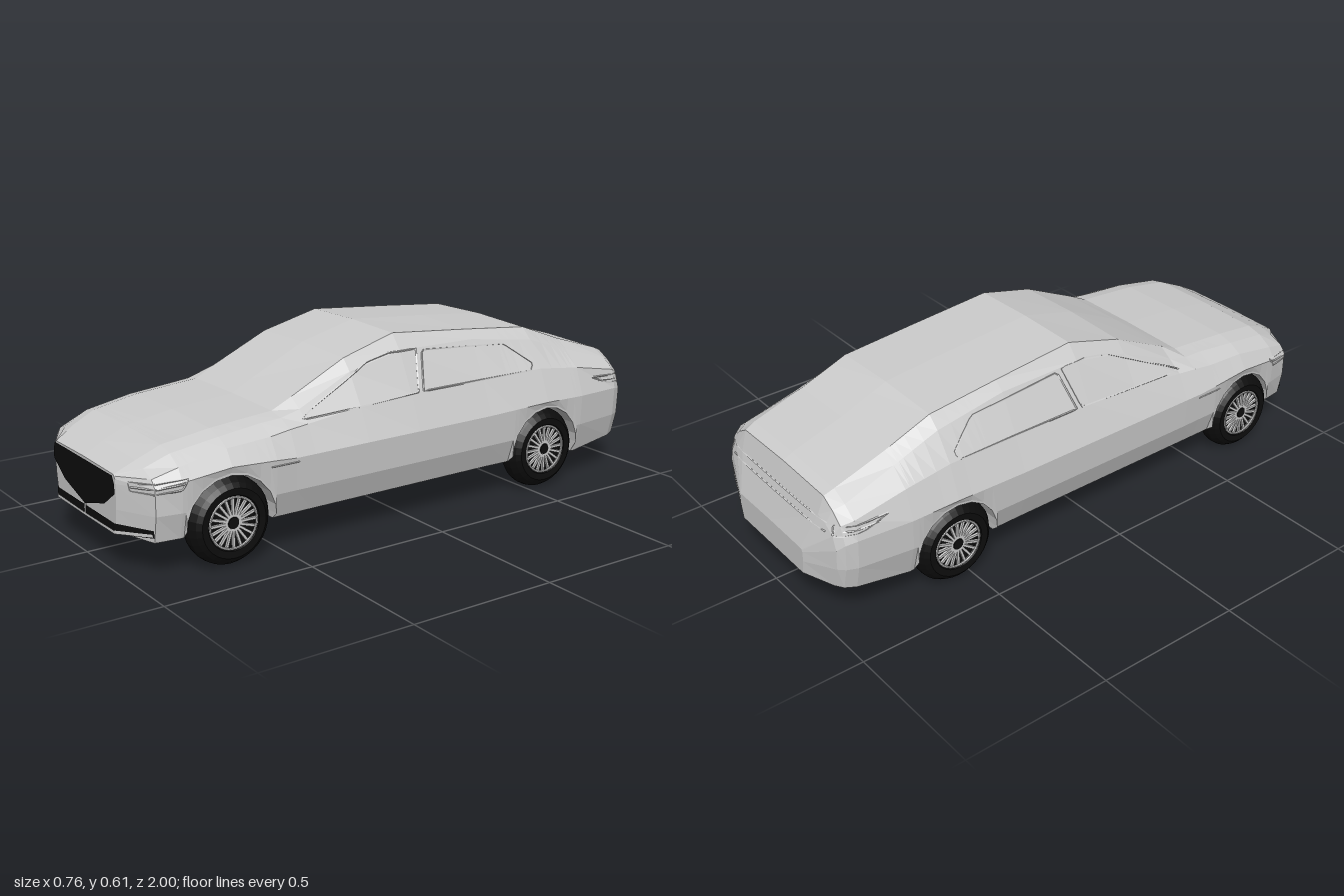
import * as THREE from 'three';

const grey = new THREE.MeshStandardMaterial({ color: 0xcccccc, flatShading: true, side: THREE.DoubleSide });
const black = new THREE.MeshStandardMaterial({ color: 0x0d0d0d, flatShading: true, side: THREE.DoubleSide });
const WHEELS = [0.69, -0.555], AXLE_Y = 0.14, ARCH_R = 0.148;

// Body stations: z, floor y, sill x, mid x, then (x, y) of belt, shoulder, glass top, roof edge, and centre y
const STATIONS = [
  [0.995, 0.13, 0.2, 0.21, 0.212, 0.28, 0.21, 0.295, 0.205, 0.303, 0.2, 0.307, 0.31],
  [0.93, 0.115, 0.32, 0.335, 0.335, 0.285, 0.315, 0.31, 0.265, 0.33, 0.215, 0.342, 0.347],
  [0.85, 0.115, 0.33, 0.35, 0.355, 0.295, 0.33, 0.335, 0.28, 0.365, 0.225, 0.378, 0.381],
  [0.69, 0.118, 0.34, 0.362, 0.368, 0.315, 0.335, 0.365, 0.29, 0.39, 0.235, 0.403, 0.407],
  [0.54, 0.118, 0.345, 0.372, 0.378, 0.31, 0.34, 0.375, 0.285, 0.405, 0.235, 0.415, 0.418],
  [0.47, 0.118, 0.345, 0.372, 0.378, 0.305, 0.34, 0.385, 0.29, 0.41, 0.235, 0.42, 0.423],
  [0.4, 0.118, 0.345, 0.373, 0.378, 0.305, 0.335, 0.39, 0.285, 0.425, 0.24, 0.455, 0.46],
  [0.2, 0.118, 0.345, 0.373, 0.378, 0.305, 0.33, 0.41, 0.27, 0.51, 0.235, 0.548, 0.555],
  [0, 0.118, 0.345, 0.373, 0.378, 0.305, 0.33, 0.42, 0.265, 0.55, 0.225, 0.6, 0.605],
  [-0.3, 0.118, 0.345, 0.373, 0.378, 0.305, 0.33, 0.42, 0.265, 0.545, 0.23, 0.573, 0.58],
  [-0.555, 0.115, 0.345, 0.372, 0.378, 0.31, 0.335, 0.42, 0.275, 0.51, 0.235, 0.548, 0.555],
];
const TAIL = [
  [-0.72, 0.097, 0.34, 0.368, 0.373, 0.305, 0.338, 0.4, 0.28, 0.455, 0.235, 0.485, 0.49],
  [-0.9, 0.118, 0.325, 0.345, 0.35, 0.3, 0.335, 0.365, 0.29, 0.4, 0.235, 0.427, 0.433],
  [-0.935, 0.122, 0.31, 0.33, 0.335, 0.29, 0.315, 0.35, 0.275, 0.385, 0.23, 0.412, 0.418],
  [-0.955, 0.125, 0.285, 0.31, 0.315, 0.27, 0.3, 0.315, 0.265, 0.34, 0.225, 0.353, 0.358],
  [-1, 0.132, 0.18, 0.19, 0.19, 0.215, 0.188, 0.22, 0.186, 0.223, 0.18, 0.225, 0.227],
];
const ALL = [...STATIONS, ...TAIL];

function stationAt(z) {
  const i = Math.max(1, ALL.findIndex(s => s[0] <= z));
  const a = ALL[i - 1], b = ALL[i], t = (a[0] - z) / (a[0] - b[0]);
  return a.map((v, k) => v + (b[k] - v) * t);
}

// Half cross-section from floor centre, round the wheel arch and up to the roof centre
function halfSection(z) {
  const [, f, sx, mx, bx, by, hx, hy, gx, gy, rx, ry, top] = stationAt(z);
  let a = f;
  for (const c of WHEELS) {
    const d = Math.abs(z - c);
    if (d <= ARCH_R + 1e-6) a = AXLE_Y + Math.sqrt(Math.max(0, ARCH_R ** 2 - d * d));
  }
  const inner = Math.min(0.25, sx);
  return [[0, f], [inner, f], [inner, a], [a > f ? mx : sx, a], [mx, Math.max(by > 0.25 ? 0.2 : 0.18, a + 0.008)],
    [bx, by], [hx, hy], [gx, gy], [rx, ry], [0, top]];
}

function bodyGeometry() {
  const zs = ALL.map(s => s[0]);
  for (const c of WHEELS) {
    zs.push(c + ARCH_R + 0.001, c - ARCH_R - 0.001);
    for (const deg of [0, 12, 30, 50, 70, 110, 130, 150, 168, 180]) zs.push(c + ARCH_R * Math.cos(deg * Math.PI / 180));
  }
  zs.sort((p, q) => q - p);
  const pos = [], idx = [], n = 18;
  for (const z of zs) {
    const half = halfSection(z);
    const ring = [...half, ...half.slice(1, 9).reverse().map(([x, y]) => [-x, y])];
    for (const [x, y] of ring) pos.push(x, y, z);
  }
  for (let i = 0; i < zs.length - 1; i++) for (let j = 0; j < n; j++) {
    const a = i * n + j, b = i * n + (j + 1) % n;
    idx.push(a, a + n, b, a + n, b + n, b);
  }
  // Nose and tail caps
  const last = (zs.length - 1) * n;
  for (let j = 0; j < 9; j++) {
    const r0 = j, r1 = j + 1, l0 = (n - j) % n, l1 = n - j - 1;
    idx.push(r0, r1, l1, r0, l1, l0);
    idx.push(last + r0, last + l1, last + r1, last + r0, last + l0, last + l1);
  }
  const g = new THREE.BufferGeometry();
  g.setAttribute('position', new THREE.Float32BufferAttribute(pos, 3));
  g.setIndex(idx);
  g.computeVertexNormals();
  return g;
}

// Strip across the nose, following its chamfered corners; rows are [x, top y, bottom y]
function noseStrip(rows, out) {
  const pos = [], idx = [];
  rows.forEach(([x, t, b], i) => {
    const z = 0.995 + out - Math.max(0, Math.abs(x) - 0.2) * 0.52;
    pos.push(x, t, z, x, b, z);
    if (i) idx.push(2 * i - 2, 2 * i - 1, 2 * i, 2 * i, 2 * i - 1, 2 * i + 1);
  });
  const g = new THREE.BufferGeometry();
  g.setAttribute('position', new THREE.Float32BufferAttribute(pos, 3));
  g.setIndex(idx);
  g.computeVertexNormals();
  return g;
}

function makeWheel() {
  const wheel = new THREE.Group();
  const add = (name, geo, mat) => {
    const m = new THREE.Mesh(geo, mat);
    m.name = name;
    wheel.add(m);
    return m;
  };
  const profile = [[0, -0.04], [0.085, -0.045], [0.11, -0.05], [0.125, -0.038], [0.138, -0.018], [0.14, 0],
    [0.138, 0.018], [0.125, 0.038], [0.11, 0.05], [0.088, 0.048], [0.082, 0.034], [0, 0.034]];
  add('tyre', new THREE.LatheGeometry(profile.map(p => new THREE.Vector2(...p)), 32), black);
  const rim = add('rim', new THREE.TorusGeometry(0.081, 0.004, 6, 32), grey);
  rim.rotation.x = Math.PI / 2;
  rim.position.y = 0.044;
  for (let i = 0; i < 20; i++) {
    const a = i * Math.PI / 10;
    const s = add('spoke', new THREE.BoxGeometry(0.062, 0.008, 0.008), grey);
    s.position.set(Math.cos(a) * 0.05, 0.04, -Math.sin(a) * 0.05);
    s.rotation.y = a;
  }
  add('hub', new THREE.CylinderGeometry(0.018, 0.02, 0.012, 12), black).position.y = 0.04;
  wheel.children.forEach(m => { m.castShadow = true; });
  wheel.rotation.z = -Math.PI / 2;
  const holder = new THREE.Group();
  holder.add(wheel);
  return holder;
}

export function createModel() {
  const car = new THREE.Group();
  car.name = 'car';
  const add = (name, geo, mat = grey) => {
    const m = new THREE.Mesh(geo, mat);
    m.name = name;
    car.add(m);
    return m;
  };
  const body = add('body', bodyGeometry());
  body.updateMatrixWorld();

  // Thin trim line laid on the body: each 2D point is dropped onto the skin by a ray
  const ray = new THREE.Raycaster();
  function trim(name, pts, toRay, closed, r = 0.003) {
    const hits = [];
    pts.forEach((p, i) => {
      const q = pts[(i + 1) % pts.length], steps = !closed && i === pts.length - 1 ? 1 : 6;
      for (let k = 0; k < steps; k++) {
        const [o, d] = toRay(p[0] + (q[0] - p[0]) * k / 6, p[1] + (q[1] - p[1]) * k / 6);
        ray.set(o, d);
        const hit = ray.intersectObject(body)[0];
        if (hit) hits.push(hit.point);
      }
    });
    if (hits.length < 2) return;
    const curve = new THREE.CatmullRomCurve3(hits, closed, 'catmullrom', 0);
    add(name, new THREE.TubeGeometry(curve, hits.length * 2, r, 4, closed));
  }
  for (const s of [1, -1]) {
    const side = (z, y) => [new THREE.Vector3(2 * s, y, z), new THREE.Vector3(-s, 0, 0)];
    trim('frontWindowFrame', [[0.41, 0.4], [0.13, 0.53], [0.04, 0.547], [-0.065, 0.547], [-0.03, 0.42]], side, true);
    trim('rearWindowFrame', [[-0.05, 0.42], [-0.085, 0.54], [-0.43, 0.515], [-0.53, 0.44], [-0.51, 0.42]], side, true);
    trim('headlight', [[0.83, 0.305], [0.975, 0.292], [0.972, 0.265], [0.85, 0.272]], side, true);
    trim('headlightBar', [[0.84, 0.29], [0.97, 0.279]], side, false);
    trim('tailLight', [[-0.79, 0.355], [-0.945, 0.345], [-0.955, 0.315], [-0.87, 0.325]], side, true);
    trim('tailLightBar', [[-0.82, 0.34], [-0.95, 0.33]], side, false);
    trim('fenderVent', [[0.56, 0.292], [0.46, 0.292]], side, false, 0.002);
  }
  // Light strips joining the lamps across the tail
  const rear = (x, y) => [new THREE.Vector3(x, y, -2), new THREE.Vector3(0, 0, 1)];
  for (const y of [0.345, 0.318]) trim('tailStrip', [[-0.27, y], [0.27, y]], rear, false);

  // Shield-shaped grille and lower intake with its bright V strip
  const half = [[0.2, 0.304], [0.212, 0.28], [0.212, 0.25], [0.14, 0.2]];
  const outline = [...half, [0, 0.16], ...half.map(([x, y]) => [-x, y]).reverse()];
  const shield = new THREE.ShapeGeometry(new THREE.Shape(outline.map(p => new THREE.Vector2(...p))));
  add('grille', shield, black).position.z = 0.999;
  const mirrored = rows => [...rows.map(([x, t, b]) => [-x, t, b]), ...rows.slice(0, -1).reverse()];
  add('lowerIntake', noseStrip(mirrored([[0.325, 0.155, 0.132], [0.2, 0.155, 0.122], [0, 0.155, 0.125]]), 0.003), black);
  add('intakeStrip', noseStrip(mirrored([[0.322, 0.144, 0.135], [0.2, 0.133, 0.122], [0, 0.13, 0.121]]), 0.005));
  add('intakePost', new THREE.BoxGeometry(0.008, 0.034, 0.006)).position.set(0, 0.141, 0.997);

  // Wheels
  for (const z of WHEELS) for (const s of [1, -1]) {
    const w = makeWheel();
    w.name = z > 0 ? 'frontWheel' : 'rearWheel';
    w.position.set(s * 0.322, AXLE_Y, z);
    if (s < 0) w.rotation.y = Math.PI;
    car.add(w);
  }
  return car;
}
